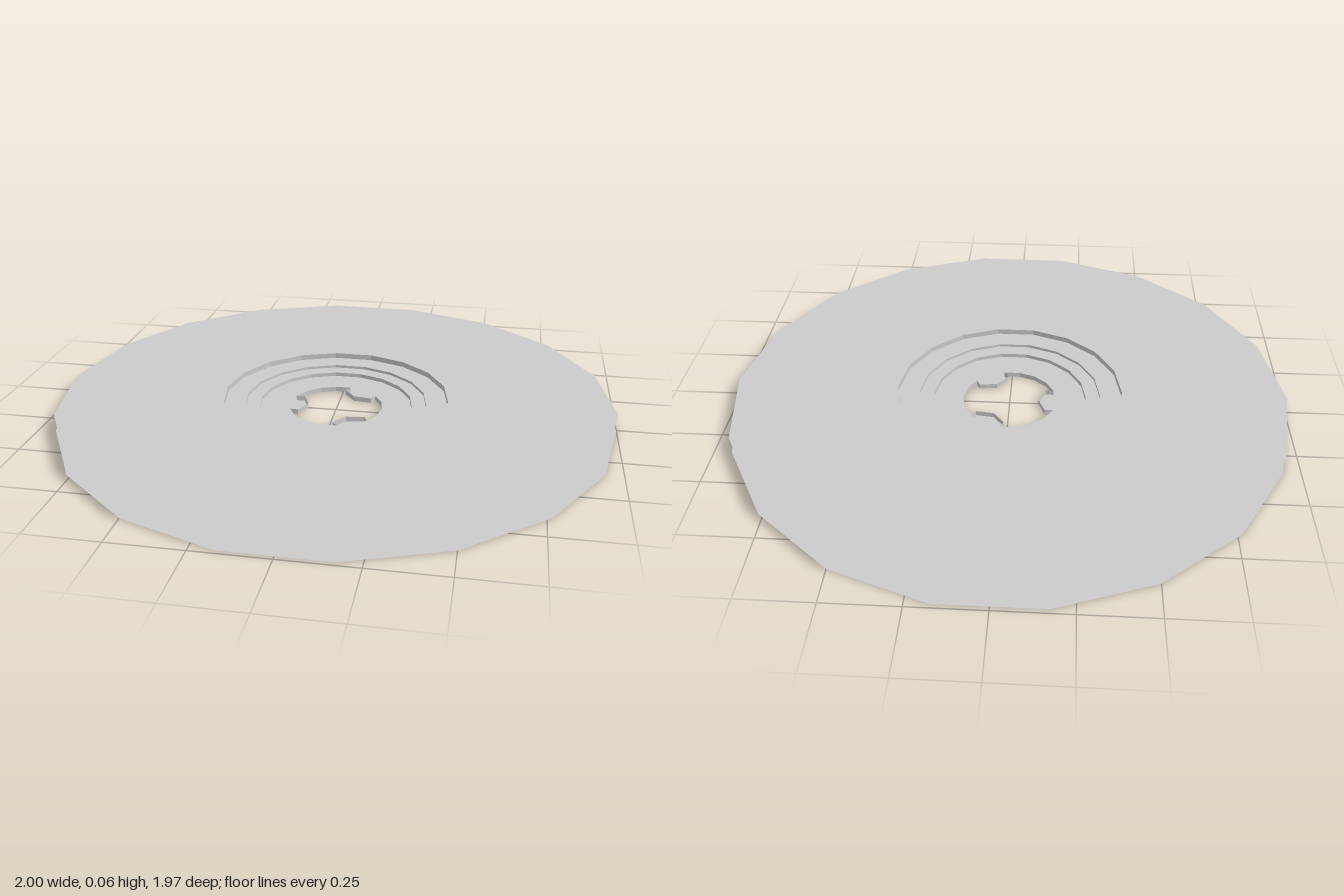
import * as THREE from 'three';

const SIDES = 18;
const HOLE_R = 0.17;
const FLOOR_Y = 0.018;

const polar = (r, deg) => {
  const a = THREE.MathUtils.degToRad(deg);
  return new THREE.Vector2(r * Math.cos(a), r * Math.sin(a));
};

// Regular polygon outline with a corner on the x axis
const ring = (r) => Array.from({ length: SIDES }, (_, i) => polar(r, (i * 360) / SIDES));

// Centre hole: three arcs separated by three pointed tabs
function holeOutline() {
  const pts = [];
  for (const c of [60, 180, 300]) {
    pts.push(polar(HOLE_R, c - 20), polar(0.143, c - 25), polar(0.105, c), polar(0.143, c + 25));
    for (const d of [20, 40, 60, 80]) pts.push(polar(HOLE_R, c + d));
  }
  return pts;
}

// Vertical wall along a closed outline, facing the centre
function wallGeometry(outline, y0, y1) {
  const pos = [];
  outline.forEach((a, i) => {
    const b = outline[(i + 1) % outline.length];
    pos.push(a.x, y0, a.y, b.x, y0, b.y, b.x, y1, b.y);
    pos.push(a.x, y0, a.y, b.x, y1, b.y, a.x, y1, a.y);
  });
  const geo = new THREE.BufferGeometry();
  geo.setAttribute('position', new THREE.Float32BufferAttribute(pos, 3));
  geo.computeVertexNormals();
  return geo;
}

export function createModel() {
  const group = new THREE.Group();
  group.name = 'steppedDisc';
  const material = new THREE.MeshStandardMaterial({
    color: 0xcccccc,
    flatShading: true,
    side: THREE.DoubleSide,
  });
  const add = (name, geometry) => {
    const mesh = new THREE.Mesh(geometry, material);
    mesh.name = name;
    group.add(mesh);
  };

  // Top plate stepping down to the hub floor; the outer rim stays open
  const profile = [
    [1, 0.062], [0.408, 0.062], [0.408, 0.042], [0.33, 0.042],
    [0.33, 0.032], [0.278, 0.032], [0.278, FLOOR_Y], [HOLE_R, FLOOR_Y],
  ].map(([r, y]) => new THREE.Vector2(r, y));
  add('steppedTopPlate', new THREE.LatheGeometry(profile, SIDES, Math.PI / 2));

  // Bottom plate with the tabbed centre hole
  const hole = holeOutline();
  const plate = new THREE.Shape(ring(1));
  plate.holes.push(new THREE.Path(hole));
  add('bottomPlate', new THREE.ShapeGeometry(plate).rotateX(Math.PI / 2));

  // Wall around the hole and its tabs
  add('holeWall', wallGeometry(hole, 0, FLOOR_Y));

  return group;
}
